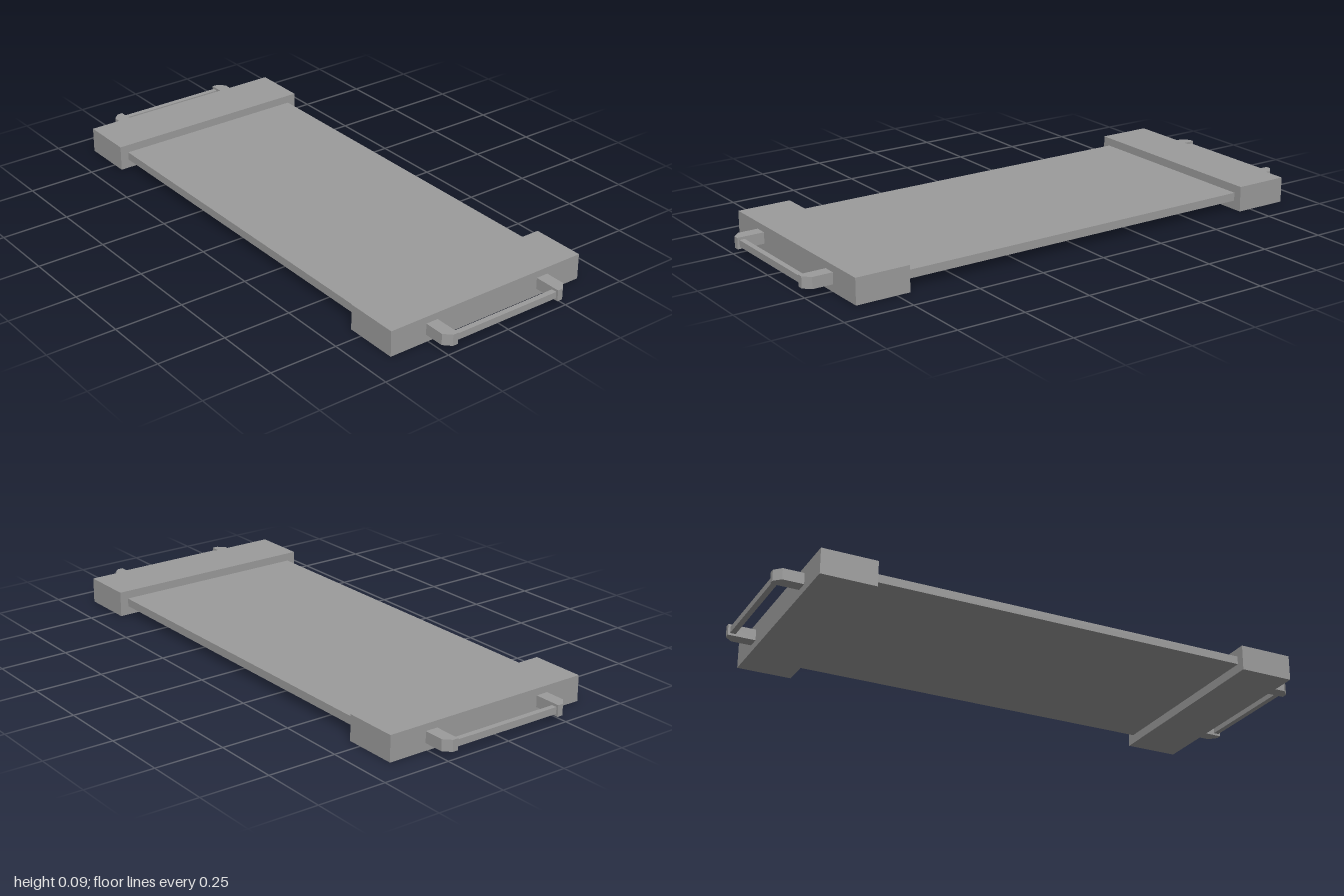
import * as THREE from 'three';

const material = new THREE.MeshStandardMaterial({ color: 0x9c9c9c, flatShading: true });

function addBox(parent, name, [w, h, d], [x, y, z]) {
  const mesh = new THREE.Mesh(new THREE.BoxGeometry(w, h, d), material);
  mesh.name = name;
  mesh.position.set(x, y, z);
  parent.add(mesh);
}

// Handle arm: plan outline with a chamfered outer corner, extruded upwards
function addHandleArm(parent, sx, sz) {
  const outline = [[0.9, 0.212], [1, 0.212], [1, 0.233], [0.975, 0.258], [0.9, 0.258]];
  const shape = new THREE.Shape(outline.map(([x, z]) => new THREE.Vector2(x * sx, z * sz)));
  const geometry = new THREE.ExtrudeGeometry(shape, { depth: 0.041, bevelEnabled: false });
  geometry.rotateX(-Math.PI / 2);
  const mesh = new THREE.Mesh(geometry, material);
  mesh.name = 'handleArm';
  mesh.position.y = 0.027;
  parent.add(mesh);
}

export function createModel() {
  const model = new THREE.Group();
  model.name = 'board';

  // Thin deck between the end blocks
  addBox(model, 'deck', [1.41, 0.03, 0.736], [0, 0.048, 0]);

  for (const side of [-1, 1]) {
    const end = new THREE.Group();
    end.name = side > 0 ? 'leftEnd' : 'rightEnd';
    addBox(end, 'endBlock', [0.2, 0.093, 0.8], [side * 0.8, 0.0465, 0]);

    // Carrying handle: two arms and a slim bar
    const handle = new THREE.Group();
    handle.name = 'handle';
    for (const sz of [-1, 1]) addHandleArm(handle, side, sz);
    addBox(handle, 'handleBar', [0.02, 0.024, 0.43], [side * 0.982, 0.047, 0]);
    end.add(handle);
    model.add(end);
  }
  return model;
}
